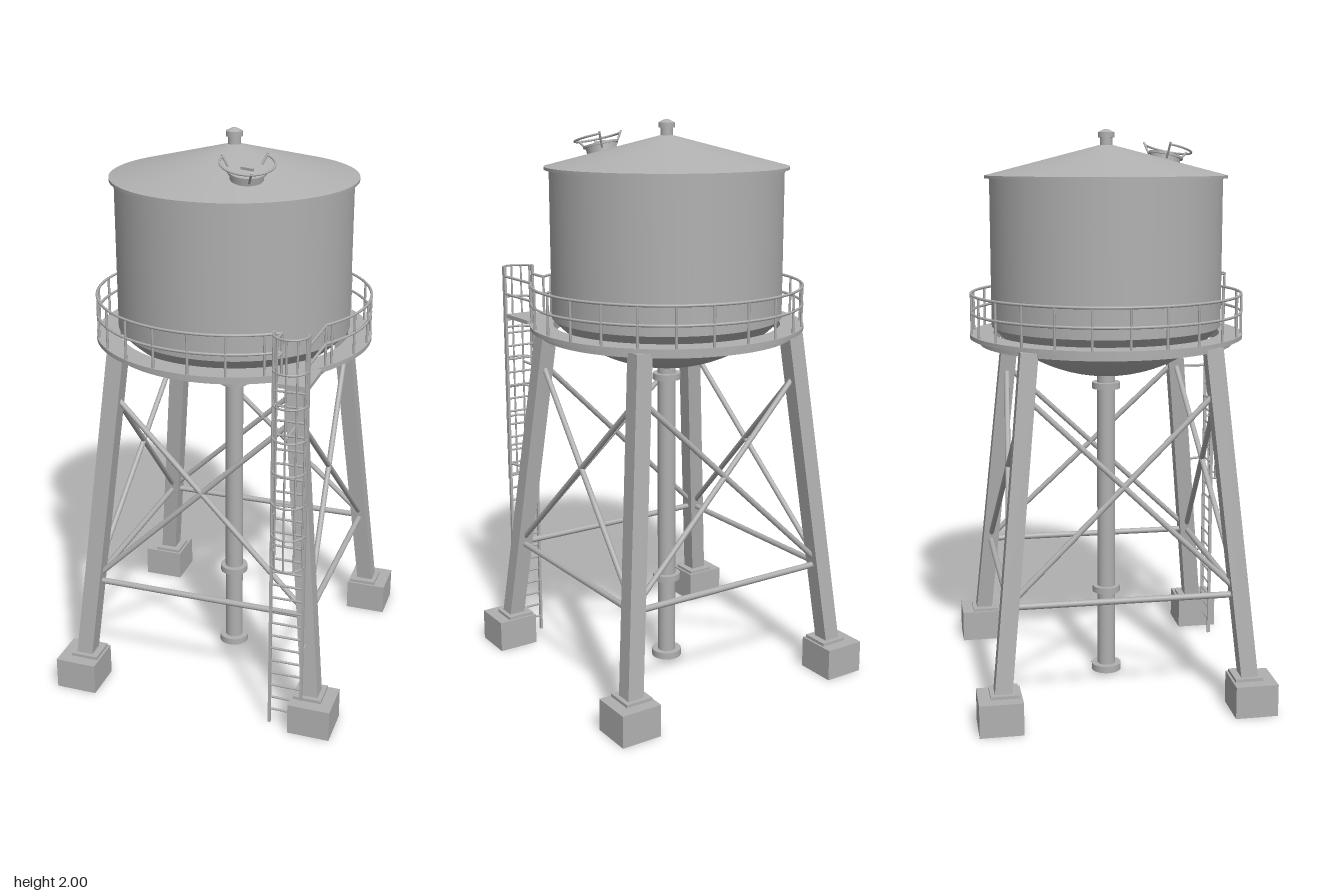
import * as THREE from 'three';

const steel = new THREE.MeshStandardMaterial({ color: 0xb0b0b0 });
steel.name = 'grey steel';
const steelTwoSided = new THREE.MeshStandardMaterial({ color: 0xb0b0b0, side: THREE.DoubleSide });
steelTwoSided.name = 'grey steel sheet';

const V = (x, y, z) => new THREE.Vector3(x, y, z);

function add(parent, name, geometry, x = 0, y = 0, z = 0, material = steel) {
  const mesh = new THREE.Mesh(geometry, material);
  mesh.name = name;
  mesh.position.set(x, y, z);
  parent.add(mesh);
  return mesh;
}

// Upright cylinder between two heights
function drum(parent, name, r, y0, y1, sides = 32, rTop = r) {
  return add(parent, name, new THREE.CylinderGeometry(rTop, r, y1 - y0, sides), 0, (y0 + y1) / 2, 0);
}

// Straight round bar between two points
function bar(parent, name, a, b, r, sides = 8) {
  const mesh = add(parent, name, new THREE.CylinderGeometry(r, r, a.distanceTo(b), sides));
  mesh.position.copy(a).lerp(b, 0.5);
  mesh.quaternion.setFromUnitVectors(V(0, 1, 0), b.clone().sub(a).normalize());
  return mesh;
}

// Point on a horizontal circle; angle 0 faces the front, 90 degrees faces +x
const onCircle = (r, y, a) => V(r * Math.sin(a), y, r * Math.cos(a));

// Round bar bent along a horizontal arc
function arcBar(parent, name, R, y, a0, a1, r, segments, cx = 0, cz = 0) {
  const curve = new THREE.Curve();
  curve.getPoint = (t, target = new THREE.Vector3()) =>
    target.copy(onCircle(R, y, a0 + (a1 - a0) * t)).add(V(cx, 0, cz));
  return add(parent, name, new THREE.TubeGeometry(curve, segments, r, 6));
}

// Flat ring with a rectangular section
function flatRing(parent, name, rIn, rOut, y0, y1) {
  const shape = new THREE.Shape().absarc(0, 0, rOut, 0, Math.PI * 2, false);
  shape.holes.push(new THREE.Path().absarc(0, 0, rIn, 0, Math.PI * 2, true));
  const g = new THREE.ExtrudeGeometry(shape, { depth: y1 - y0, bevelEnabled: false, curveSegments: 64 });
  return add(parent, name, g.rotateX(-Math.PI / 2), 0, y0, 0);
}

// Half-spread of the leg centres at a height
const legAt = (y) => 0.43 - 0.115 * (y - 0.12) / 1.15;

function buildFrame(tower) {
  const frame = new THREE.Group();
  frame.name = 'supportFrame';
  tower.add(frame);
  for (const sx of [-1, 1]) for (const sz of [-1, 1]) {
    add(frame, 'footing', new THREE.BoxGeometry(0.15, 0.115, 0.15), sx * 0.442, 0.0575, sz * 0.442);
    add(frame, 'basePlate', new THREE.BoxGeometry(0.1, 0.012, 0.1), sx * 0.425, 0.12, sz * 0.425);
    // Square leg, leaning inward
    const leg = new THREE.BoxGeometry(0.06, 1.15, 0.06);
    const p = leg.attributes.position;
    for (let i = 0; i < p.count; i++) {
      const y = p.getY(i) + 0.695, s = legAt(y);
      p.setXYZ(i, p.getX(i) + sx * s, y, p.getZ(i) + sz * s);
    }
    leg.computeVertexNormals();
    add(frame, 'leg', leg);
  }
  // Cross bracing and horizontal strut on each side
  for (let i = 0; i < 4; i++) {
    const side = new THREE.Group();
    side.name = 'bracedSide';
    side.rotation.y = i * Math.PI / 2;
    frame.add(side);
    const lo = legAt(0.42), hi = legAt(1.12);
    for (const s of [-1, 1]) bar(side, 'crossBrace', V(-s * lo, 0.42, lo), V(s * hi, 1.12, hi), 0.01, 10);
    bar(side, 'strut', V(-lo, 0.412, lo), V(lo, 0.412, lo), 0.011, 10);
  }
  // Central riser pipe
  drum(frame, 'riserPipe', 0.033, 0, 1.15);
  drum(frame, 'pipeFoot', 0.055, 0, 0.025);
  drum(frame, 'pipeFlange', 0.051, 0.31, 0.333);
  drum(frame, 'pipeFlange', 0.051, 1.082, 1.105);
}

function buildTank(tower) {
  const tank = new THREE.Group();
  tank.name = 'tank';
  tower.add(tank);
  add(tank, 'tankWall', new THREE.CylinderGeometry(0.41, 0.41, 0.525, 72, 1, true), 0, 1.5775, 0, steelTwoSided);
  // Dished bottom, a spherical cap
  const h = 0.182, R = (0.41 ** 2 + h ** 2) / (2 * h), end = Math.asin(0.41 / R);
  const bowl = [];
  for (let i = 0; i <= 14; i++) {
    const a = end * i / 14;
    bowl.push(new THREE.Vector2(R * Math.sin(a), 1.133 + R - R * Math.cos(a)));
  }
  add(tank, 'tankBottom', new THREE.LatheGeometry(bowl, 72), 0, 0, 0, steelTwoSided);
  // Roof cone, lip and vent
  add(tank, 'roof', new THREE.ConeGeometry(0.427, 0.11, 72), 0, 1.897, 0);
  drum(tank, 'roofLip', 0.427, 1.832, 1.842, 72);
  drum(tank, 'vent', 0.022, 1.93, 1.975, 24);
  drum(tank, 'ventCap', 0.029, 1.972, 1.99, 24);
  drum(tank, 'ventCapTop', 0.029, 1.99, 2.0, 24, 0.008);

  // Roof hatch, square to the roof slope
  const hatch = new THREE.Group();
  hatch.name = 'hatch';
  const x = 0.12, z = 0.235, d = Math.hypot(x, z);
  hatch.position.set(x, 1.952 - 0.11 * d / 0.427, z);
  hatch.quaternion.setFromUnitVectors(V(0, 1, 0), V(x / d * 0.11, 0.427, z / d * 0.11).normalize());
  tank.add(hatch);
  drum(hatch, 'hatchNeck', 0.055, -0.015, 0.024);
  drum(hatch, 'hatchLid', 0.064, 0.022, 0.03);
  add(hatch, 'hatchHandle', new THREE.BoxGeometry(0.042, 0.01, 0.008), 0, 0.034, 0);
  const a0 = -1.68, a1 = 2.66;
  arcBar(hatch, 'hatchGuard', 0.089, 0.055, a0, a1, 0.004, 40);
  for (const a of [a0, 0.45, a1])
    bar(hatch, 'guardStrut', onCircle(0.055, 0.01, a), onCircle(0.091, 0.062, a), 0.004);
}

const LX0 = 0.289, LX1 = 0.403, LZ = 0.473;   // ladder sides and plane

function buildWalkway(tower) {
  const walk = new THREE.Group();
  walk.name = 'walkway';
  tower.add(walk);
  flatRing(walk, 'deck', 0.405, 0.488, 1.275, 1.29);
  flatRing(walk, 'deckGirder', 0.405, 0.452, 1.252, 1.276);
  add(walk, 'landing', new THREE.BoxGeometry(LX1 - LX0, 0.014, 0.17), (LX0 + LX1) / 2, 1.282, 0.385);
  // Handrails, open at the landing
  const R = 0.482, gap0 = Math.asin(LX0 / R), gap1 = Math.asin(LX1 / R);
  const railHeights = [1.365, 1.43];
  for (const y of railHeights) {
    arcBar(walk, 'handrail', R, y, gap1, gap0 + Math.PI * 2, 0.005, 110);
    for (const a of [gap0, gap1]) {
      const p = onCircle(R, y, a);
      bar(walk, 'landingRail', p, V(p.x, y, LZ), 0.005);
    }
  }
  const posts = [gap0, gap1];
  for (let i = 0; i < 24; i++) if (i !== 3) posts.push(i * Math.PI / 12);
  for (const a of posts) bar(walk, 'railPost', onCircle(R, 1.28, a), onCircle(R, 1.43, a), 0.0045, 6);
}

function buildLadder(tower) {
  const ladder = new THREE.Group();
  ladder.name = 'ladder';
  tower.add(ladder);
  for (const x of [LX0, LX1]) add(ladder, 'ladderRail', new THREE.BoxGeometry(0.009, 1.465, 0.012), x, 0.7325, LZ);
  for (let y = 0.055; y < 1.29; y += 0.0505) bar(ladder, 'rung', V(LX0, y, LZ), V(LX1, y, LZ), 0.004, 6);
  // Safety cage
  const cx = (LX0 + LX1) / 2, r = (LX1 - LX0) / 2;
  for (let i = 0; i < 8; i++)
    arcBar(ladder, 'cageHoop', r, 0.648 + i * 0.116, -Math.PI / 2, Math.PI / 2, 0.004, 20, cx, LZ);
  for (let i = -2; i <= 2; i++) {
    const p = onCircle(r, 0, i * Math.PI / 5).add(V(cx, 0, LZ));
    bar(ladder, 'cageBar', V(p.x, 0.648, p.z), V(p.x, 1.46, p.z), 0.0035, 6);
  }
  // Brackets tying the ladder to the leg
  for (const y of [0.32, 0.71, 1.1]) {
    const s = legAt(y);
    bar(ladder, 'ladderBracket', V(y > 1 ? s : LX1, y, LZ), V(s, y, s), 0.005);
  }
}

export function createModel() {
  const model = new THREE.Group();
  model.name = 'waterTower';
  const tower = new THREE.Group();
  tower.name = 'tower';
  tower.position.z = -0.009;
  model.add(tower);
  buildFrame(tower);
  buildTank(tower);
  buildWalkway(tower);
  buildLadder(tower);
  return model;
}
